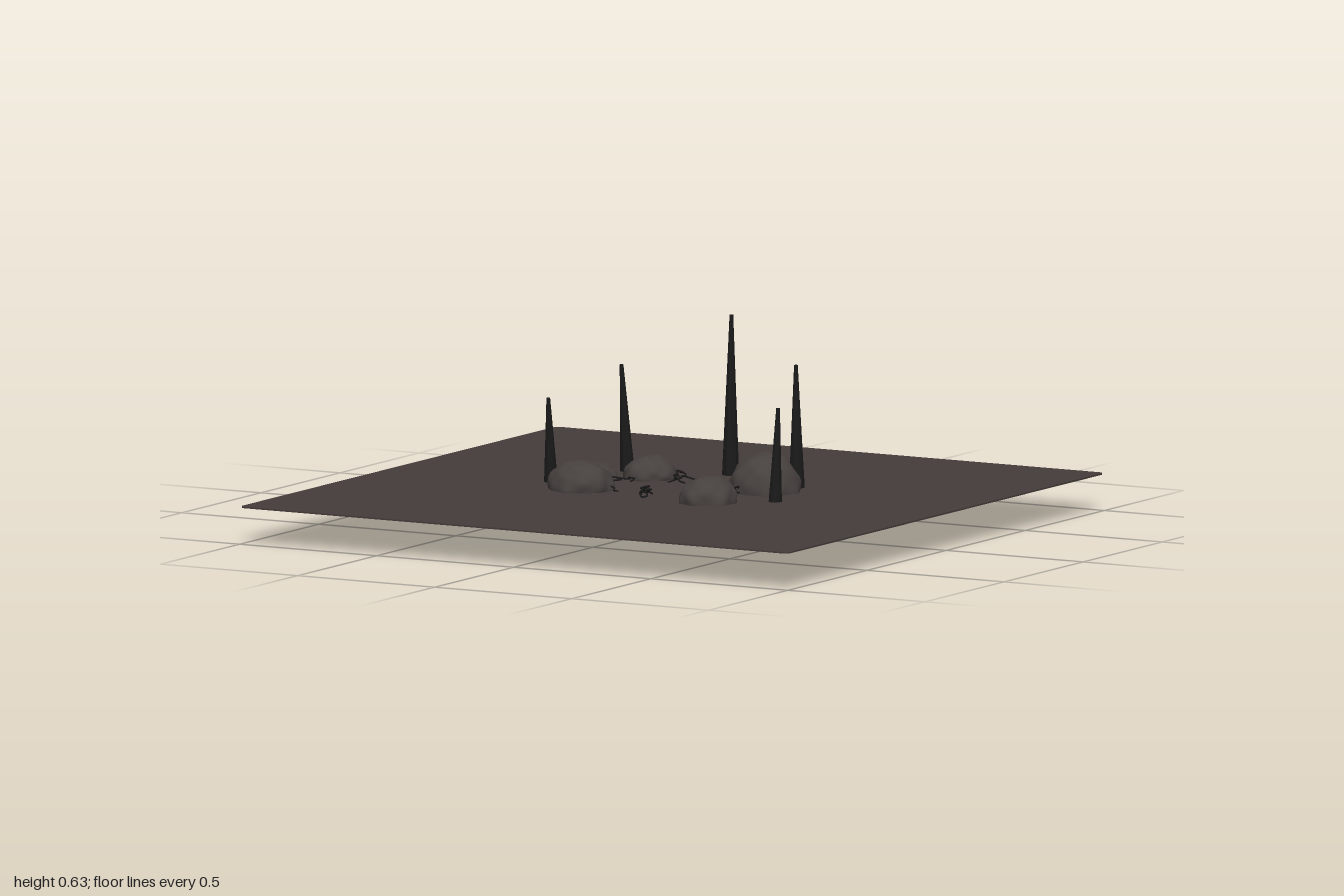
import * as THREE from 'three';
import { mergeVertices } from 'three/addons/utils/BufferGeometryUtils.js';

const GROUND_Y = 0.121;

function seeded(seed) {
  let s = seed;
  return () => (s = (s * 16807) % 2147483647) / 2147483647;
}

// Lumpy boulder fitted to a centre and full size
function rockGeometry(centre, size, seed) {
  const source = new THREE.IcosahedronGeometry(1, 7);
  source.deleteAttribute('normal');
  source.deleteAttribute('uv');
  const geo = mergeVertices(source, 1e-4);
  const rand = seeded(seed);
  const lumps = Array.from({ length: 46 }, (_, i) => {
    // evenly spread lump directions, slightly jittered
    const y = 1 - (2 * (i + 0.5)) / 46;
    const a = i * 2.39996 + rand() * 0.5 + seed;
    const r = Math.sqrt(1 - y * y);
    return { dir: new THREE.Vector3(r * Math.cos(a), y, r * Math.sin(a)), h: 0.05 + rand() * 0.08 };
  });
  const pos = geo.attributes.position;
  const v = new THREE.Vector3();
  for (let i = 0; i < pos.count; i++) {
    v.fromBufferAttribute(pos, i).normalize();
    let r = 0.94;
    for (const l of lumps) r += l.h * Math.exp((v.dot(l.dir) - 1) * 38);
    v.multiplyScalar(r);
    pos.setXYZ(i, v.x, v.y, v.z);
  }
  geo.center();
  geo.computeBoundingBox();
  const box = geo.boundingBox.getSize(new THREE.Vector3());
  geo.scale(size[0] / box.x, size[1] / box.y, size[2] / box.z);
  geo.translate(...centre);
  geo.computeVertexNormals();
  return geo;
}

// Tapered spike whose tip is shifted sideways from its base
function spikeGeometry(base, tip, radius) {
  const bottom = 0.11;
  const h = tip[1] - bottom;
  const geo = new THREE.CylinderGeometry(0.006, radius, h, 10, 6).toNonIndexed();
  geo.translate(0, h / 2, 0);
  const pos = geo.attributes.position;
  for (let i = 0; i < pos.count; i++) {
    const t = pos.getY(i) / h;
    pos.setXYZ(i,
      pos.getX(i) + base[0] + (tip[0] - base[0]) * t,
      pos.getY(i) + bottom,
      pos.getZ(i) + base[1] + (tip[2] - base[1]) * t);
  }
  geo.computeVertexNormals();
  return geo;
}

// Thin tangled twig wandering over the ground
function twigGeometry(from, to, height, seed) {
  const rand = seeded(seed);
  const n = 8;
  const points = [];
  for (let i = 0; i <= n; i++) {
    const t = i / n;
    points.push(new THREE.Vector3(
      from[0] + (to[0] - from[0]) * t + (rand() - 0.5) * 0.04,
      GROUND_Y + height * Math.sin(Math.PI * t) * (0.35 + 0.65 * rand()),
      from[1] + (to[1] - from[1]) * t + (rand() - 0.5) * 0.04));
  }
  return new THREE.TubeGeometry(new THREE.CatmullRomCurve3(points), 48, 0.0028, 5);
}

export function createModel() {
  const group = new THREE.Group();
  const material = (name, color, flatShading = false) =>
    Object.assign(new THREE.MeshStandardMaterial({ color, flatShading }), { name });
  const ash = material('ash ground', 0x443c3b);
  const stone = material('stone', 0x46403e);
  const char = material('charred black', 0x1a1a1a);
  const add = (name, geo, mat) => {
    const mesh = new THREE.Mesh(geo, mat);
    mesh.name = name;
    group.add(mesh);
  };

  // Thin ground sheet with rounded corners
  const c = 0.02;
  const outline = new THREE.Shape();
  outline.absarc(1 - c, 1 - c, c, 0, Math.PI / 2);
  outline.absarc(-1 + c, 1 - c, c, Math.PI / 2, Math.PI);
  outline.absarc(-1 + c, -1 + c, c, Math.PI, Math.PI * 1.5);
  outline.absarc(1 - c, -1 + c, c, Math.PI * 1.5, Math.PI * 2);
  const ground = new THREE.ExtrudeGeometry(outline, { depth: 0.005, bevelEnabled: false, curveSegments: 6 });
  ground.rotateX(-Math.PI / 2);
  ground.translate(0, GROUND_Y - 0.005, 0);
  add('ground', ground, ash);

  // Half-buried boulders: centre, size
  const rocks = [
    [[0.272, 0.1225, -0.119], [0.235, 0.245, 0.238]],
    [[-0.252, 0.128, 0.134], [0.213, 0.166, 0.208]],
    [[0.233, 0.126, 0.182], [0.186, 0.155, 0.198]],
    [[-0.188, 0.126, -0.19], [0.171, 0.132, 0.182]],
    [[-0.324, 0.12, -0.077], [0.145, 0.112, 0.139]],
  ];
  rocks.forEach(([centre, size], i) => add('rock' + (i + 1), rockGeometry(centre, size, 11 + i * 37), stone));

  // Tall spikes: base x z, tip x y z, base radius
  const spikes = [
    [[0, -0.37], [-0.005, 0.63, -0.384], 0.028],
    [[-0.322, -0.277], [-0.333, 0.463, -0.258], 0.024],
    [[0.32, -0.235], [0.31, 0.51, -0.246], 0.026],
    [[-0.415, 0.045], [-0.412, 0.392, 0.068], 0.023],
    [[0.414, 0.065], [0.417, 0.418, 0.052], 0.022],
  ];
  spikes.forEach(([base, tip, radius], i) => add('spike' + (i + 1), spikeGeometry(base, tip, radius), char));

  // Twigs scattered between the boulders: start x z, end x z, arch height
  const twigs = [
    [[-0.1, -0.18], [-0.03, -0.13], 0.045],
    [[-0.07, -0.14], [-0.02, -0.17], 0.03],
    [[-0.23, -0.01], [-0.18, -0.09], 0.03],
    [[0.08, -0.075], [0.135, -0.105], 0.03],
    [[0.13, 0.11], [0.19, 0.12], 0.035],
    [[-0.02, 0.15], [0.02, 0.2], 0.04],
    [[0.0, 0.13], [0.01, 0.18], 0.03],
    [[0.22, 0.01], [0.25, -0.03], 0.03],
    [[-0.18, 0.12], [-0.14, 0.12], 0.03],
  ];
  twigs.forEach(([from, to, height], i) => add('twig' + (i + 1), twigGeometry(from, to, height, 101 + i * 7919), char));

  return group;
}
